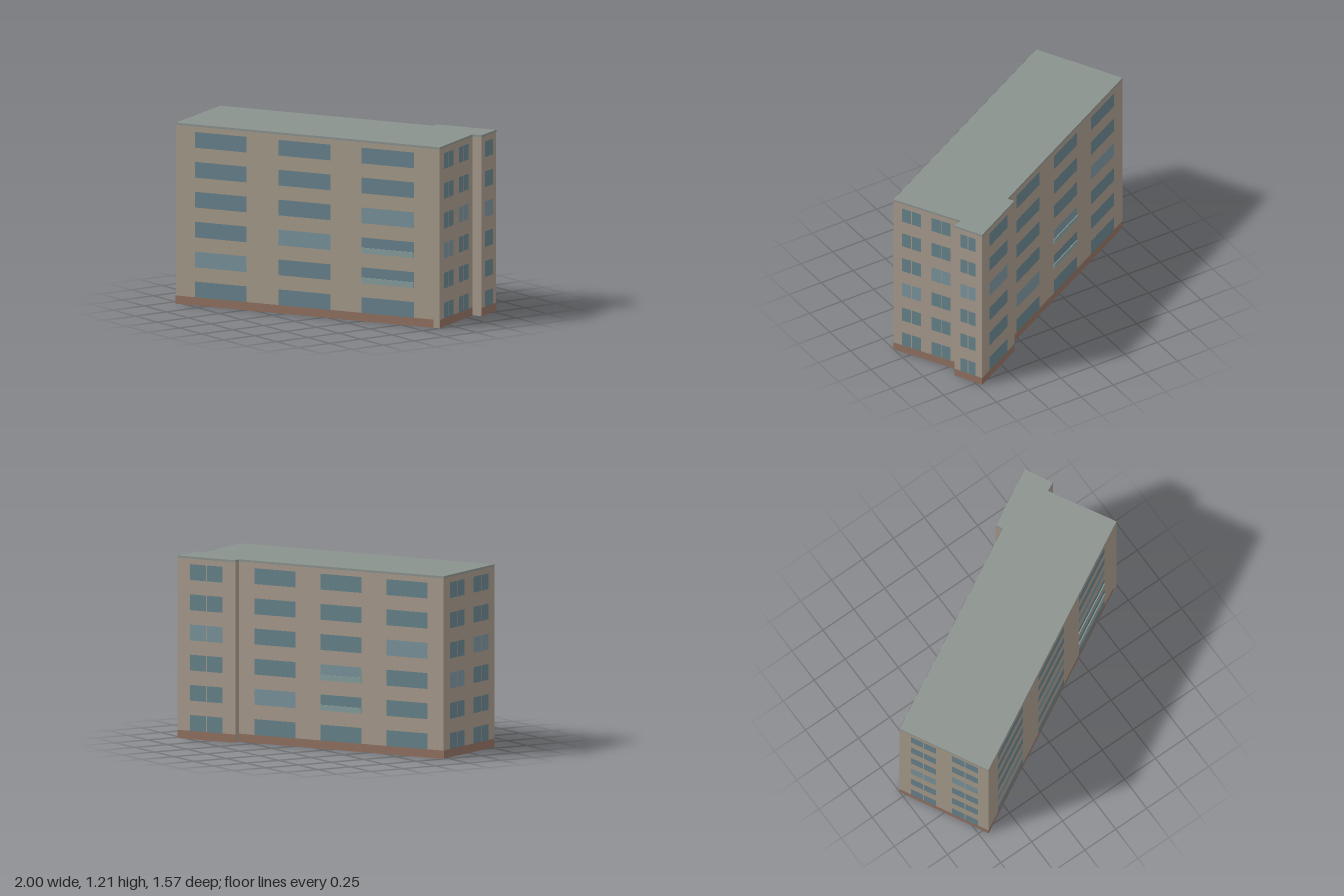
import * as THREE from 'three';

const H = 1.21, PLINTH = 0.055, WIN_H = 0.105, FLOOR = 0.2, FLOORS = 6;

const mat = (color, side = THREE.FrontSide) => new THREE.MeshStandardMaterial({ color, side });
const wallMat = mat(0xa5998b, THREE.DoubleSide);
const plinthMat = mat(0x8f7060);
const roofMat = mat(0x8a928e, THREE.DoubleSide);
const glassMat = mat(0x66818a);
const paleGlassMat = mat(0x78919a);
const railMat = mat(0x859c9c);

// Footprint corners (x, z), running so that each wall faces outwards
const corners = [
  [-1, 0.21], [-0.695, 0.785], [1, -0.135], [0.76, -0.57],
  [0.82, -0.6], [0.725, -0.785], [0.34, -0.575], [0.366, -0.532],
];

// One entry per wall: window spans as fractions of its length, pale = floor minus column
const walls = [
  { name: 'leftGableWall', spans: [[0.13, 0.41], [0.59, 0.885]], split: true, pale: 2 },
  { name: 'frontWall', spans: [[0.074, 0.268], [0.389, 0.587], [0.705, 0.903]], pale: 1, balcony: 2, plinthEnd: 0.976 },
  { name: 'rightGableWall', spans: [[0.126, 0.414], [0.575, 0.862]], split: true, pale: 2 },
  { name: 'bayReturnRight', spans: [], plain: true },
  { name: 'bayEndWall', spans: [[0.22, 0.76]], split: true, pale: 3 },
  { name: 'bayBackWall', spans: [[0.22, 0.78]], split: true, pale: 3 },
  { name: 'bayReturnLeft', spans: [], plain: true },
  { name: 'backWall', spans: [[0.077, 0.277], [0.4, 0.6], [0.723, 0.923]], pale: 1, balcony: 1 },
];

// Flat rectangle in a wall's own plane, from (x0, y0) to (x1, y1)
function panel(parent, name, x0, y0, x1, y1, z, material) {
  const mesh = new THREE.Mesh(new THREE.PlaneGeometry(x1 - x0, y1 - y0), material);
  mesh.position.set((x0 + x1) / 2, (y0 + y1) / 2, z);
  mesh.name = name;
  parent.add(mesh);
}

function buildWall(spec, [ax, az], [bx, bz]) {
  const wall = new THREE.Group();
  wall.name = spec.name;
  wall.position.set(ax, 0, az);
  wall.rotation.y = Math.atan2(az - bz, bx - ax);
  const len = Math.hypot(bx - ax, bz - az);

  panel(wall, 'masonry', 0, 0, len, H, 0, wallMat);
  panel(wall, 'roofEdge', 0, H - 0.014, len, H, 0.001, roofMat);
  if (!spec.plain) panel(wall, 'plinth', 0, 0, len * (spec.plinthEnd ?? 1), PLINTH, 0.001, plinthMat);

  spec.spans.forEach(([f0, f1], col) => {
    const x0 = f0 * len, x1 = f1 * len, mid = (x0 + x1) / 2;
    for (let floor = 0; floor < FLOORS; floor++) {
      const y = PLINTH + floor * FLOOR;
      const glass = floor - col === spec.pale ? paleGlassMat : glassMat;
      if (spec.split) {
        panel(wall, 'windowPane', x0, y, mid - 0.003, y + WIN_H, 0.002, glass);
        panel(wall, 'windowPane', mid + 0.003, y, x1, y + WIN_H, 0.002, glass);
      } else {
        panel(wall, 'window', x0, y, x1, y + WIN_H, 0.002, glass);
      }
      // Shallow glazed balcony on the second and third floors
      if (spec.balcony === col && (floor === 1 || floor === 2)) {
        const rail = new THREE.Mesh(new THREE.BoxGeometry(x1 - x0, 0.037, 0.008), railMat);
        rail.position.set(mid, y + 0.0185, 0.004);
        rail.name = 'balconyRail';
        wall.add(rail);
      }
    }
  });
  return wall;
}

export function createModel() {
  const building = new THREE.Group();
  building.name = 'apartmentBlock';
  walls.forEach((spec, i) => {
    building.add(buildWall(spec, corners[i], corners[(i + 1) % corners.length]));
  });

  // Flat roof over the footprint
  const outline = new THREE.Shape(corners.map(([x, z]) => new THREE.Vector2(x, -z)));
  const roof = new THREE.Mesh(new THREE.ShapeGeometry(outline).rotateX(-Math.PI / 2), roofMat);
  roof.position.y = H;
  roof.name = 'roof';
  building.add(roof);
  return building;
}
